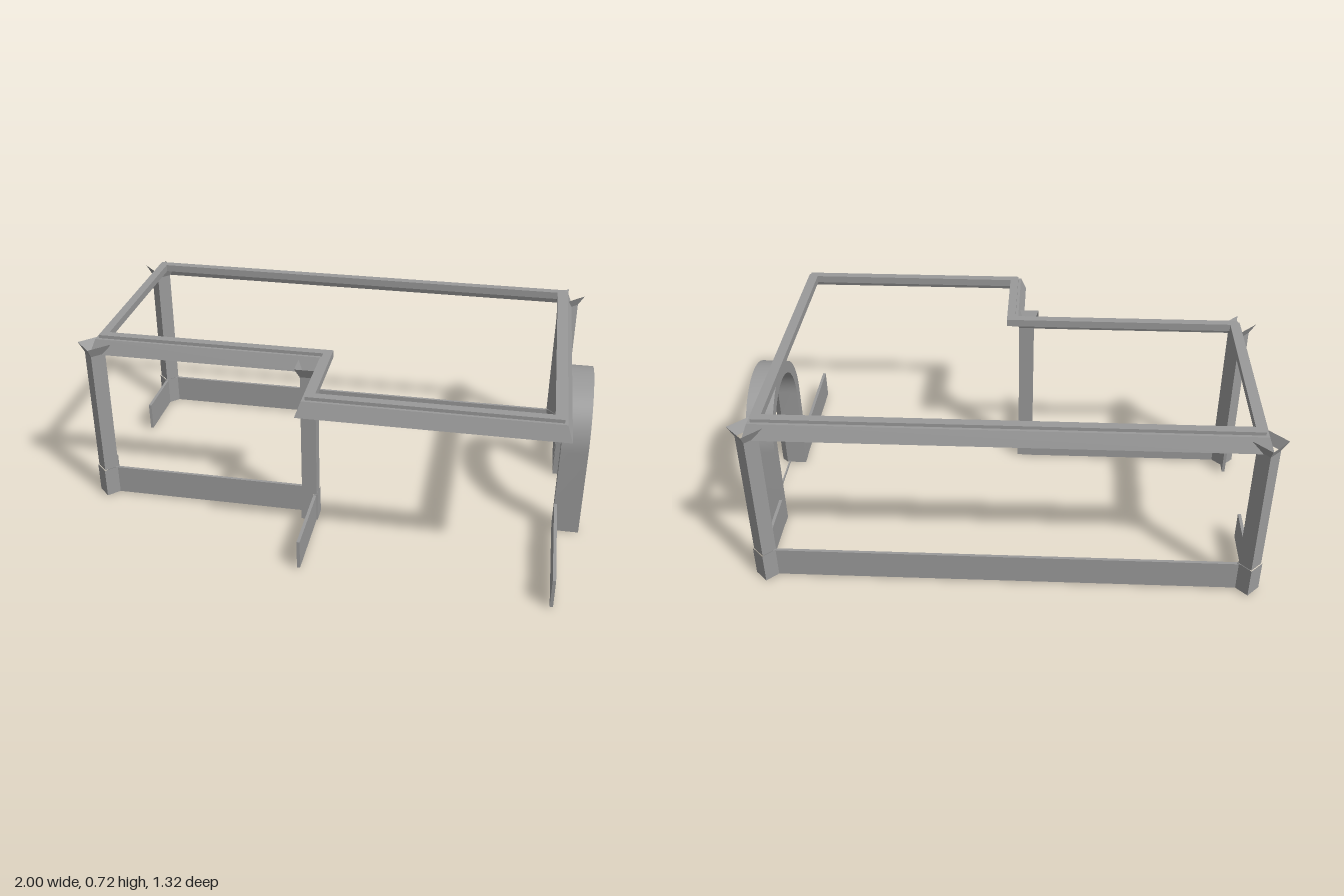
import * as THREE from 'three';
import { toCreasedNormals } from 'three/addons/utils/BufferGeometryUtils.js';

const tone = 0x9a9a9a;
const grey = new THREE.MeshStandardMaterial({ color: tone, flatShading: true });
const greyDouble = new THREE.MeshStandardMaterial({ color: tone, flatShading: true, side: THREE.DoubleSide });
const greySmooth = new THREE.MeshStandardMaterial({ color: tone });

function add(parent, name, geometry, material = grey) {
  const mesh = new THREE.Mesh(geometry, material);
  mesh.name = name;
  parent.add(mesh);
  return mesh;
}

function boxBetween(parent, name, x0, x1, y0, y1, z0, z1) {
  const mesh = add(parent, name, new THREE.BoxGeometry(x1 - x0, y1 - y0, z1 - z0));
  mesh.position.set((x0 + x1) / 2, (y0 + y1) / 2, (z0 + z1) / 2);
}

// Skin a row of closed cross-sections, optionally joining the last to the first
function loft(rings, closed) {
  const pos = [];
  const n = rings[0].length;
  const count = closed ? rings.length : rings.length - 1;
  for (let i = 0; i < count; i++) {
    const p = rings[i], q = rings[(i + 1) % rings.length];
    for (let j = 0; j < n; j++) {
      const k = (j + 1) % n;
      for (const v of [p[j], p[k], q[k], p[j], q[k], q[j]]) pos.push(...v);
    }
  }
  const g = new THREE.BufferGeometry();
  g.setAttribute('position', new THREE.Float32BufferAttribute(pos, 3));
  g.computeVertexNormals();
  return g;
}

// Mitred cornice around the L-shaped plan
function makeCornice(parent) {
  // outer corner x, z and the inward direction of x, z
  const corners = [
    [-0.95, -0.61, 1, 1], [0.91, -0.61, -1, 1], [0.91, 0.576, -1, -1],
    [-0.055, 0.576, 1, -1], [-0.055, 0.23, 1, -1], [-0.95, 0.23, 1, -1],
  ];
  // inset from the outer edge, height
  const profile = [
    [0, 0.647], [0.021, 0.704], [0.032, 0.704], [0.032, 0.717],
    [0.065, 0.717], [0.065, 0.688], [0.024, 0.688], [0.008, 0.647],
  ];
  const rings = corners.map(([x, z, sx, sz]) => profile.map(([d, y]) => [x + sx * d, y, z + sz * d]));
  add(parent, 'cornice', loft(rings, true));
}

// Round-headed door surround with a bevelled inner edge
function makeArch(parent) {
  const arch = new THREE.Group();
  arch.name = 'doorArch';
  const cz = -0.062, spring = 0.364, steps = 28;
  const profile = [[0.895, 0.234], [1, 0.234], [1, 0.209], [0.975, 0.187], [0.895, 0.187]];
  const path = [[0, 0]];
  for (let i = 0; i <= steps; i++) path.push([Math.PI * i / steps, spring]);
  path.push([Math.PI, 0]);
  const rings = path.map(([a, y]) => profile.map(([x, r]) => [x, y + r * Math.sin(a), cz + r * Math.cos(a)]));
  add(arch, 'archSurround', toCreasedNormals(loft(rings, false), 0.5), greySmooth);
  boxBetween(arch, 'threshold', 0.962, 0.968, 0, 0.007, cz - 0.2, cz + 0.2);
  parent.add(arch);
}

// Square column: plinth block, shaft and open flared capital
// outer is the quarter turn of the outward face
function makeColumn(parent, name, x, z, turn, outer, allDouble) {
  const column = new THREE.Group();
  column.name = name;
  column.position.set(x, 0, z);
  column.rotation.y = turn;
  const tube = (part, radius, y0, y1) => {
    const m = add(column, part, new THREE.CylinderGeometry(radius, radius, y1 - y0, 4, 1, true));
    m.position.y = (y0 + y1) / 2;
  };
  tube('plinth', 0.047, 0.007, 0.128);
  tube('shaft', 0.042, 0.128, 0.65);
  for (let i = 0; i < 4; i++) {
    const face = new THREE.CylinderGeometry(0.067, 0.042, 0.04, 1, 1, true, (outer + i) * Math.PI / 2, Math.PI / 2);
    const m = add(column, 'capitalFace', face, allDouble || i % 2 ? greyDouble : grey);
    m.position.y = 0.67;
  }
  parent.add(column);
}

export function createModel() {
  const model = new THREE.Group();
  model.name = 'houseTrim';

  makeCornice(model);
  makeArch(model);

  // Columns turned diagonally on the outer corners, square in the recess
  makeColumn(model, 'backRightColumn', -0.932, -0.59, 0, 2, false);
  makeColumn(model, 'backLeftColumn', 0.895, -0.59, 0, 1, false);
  makeColumn(model, 'frontRightColumn', -0.932, 0.22, 0, 3, false);
  makeColumn(model, 'recessColumn', -0.068, 0.249, Math.PI / 4, 3, true);

  // Thin skirting boards: x range, z range
  const t = 0.006;
  const boards = [
    ['backSkirting', -0.932, 0.895, -0.59 - t, -0.59 + t],
    ['frontSkirting', -0.932, -0.067, 0.22 - t, 0.22 + t],
    ['recessSkirting', -0.045 - t, -0.045 + t, 0.22, 0.6],
    ['rightBackSkirting', -0.932 - t, -0.932 + t, -0.59, -0.3],
    ['rightFrontSkirting', -0.932 - t, -0.932 + t, 0.13, 0.22],
    ['leftFrontSkirting', 0.9 - t, 0.9 + t, 0.17, 0.66],
    ['leftBackSkirting', 0.9 - t, 0.9 + t, -0.59, -0.29],
  ];
  for (const [name, x0, x1, z0, z1] of boards) boxBetween(model, name, x0, x1, 0.007, 0.125, z0, z1);

  return model;
}
